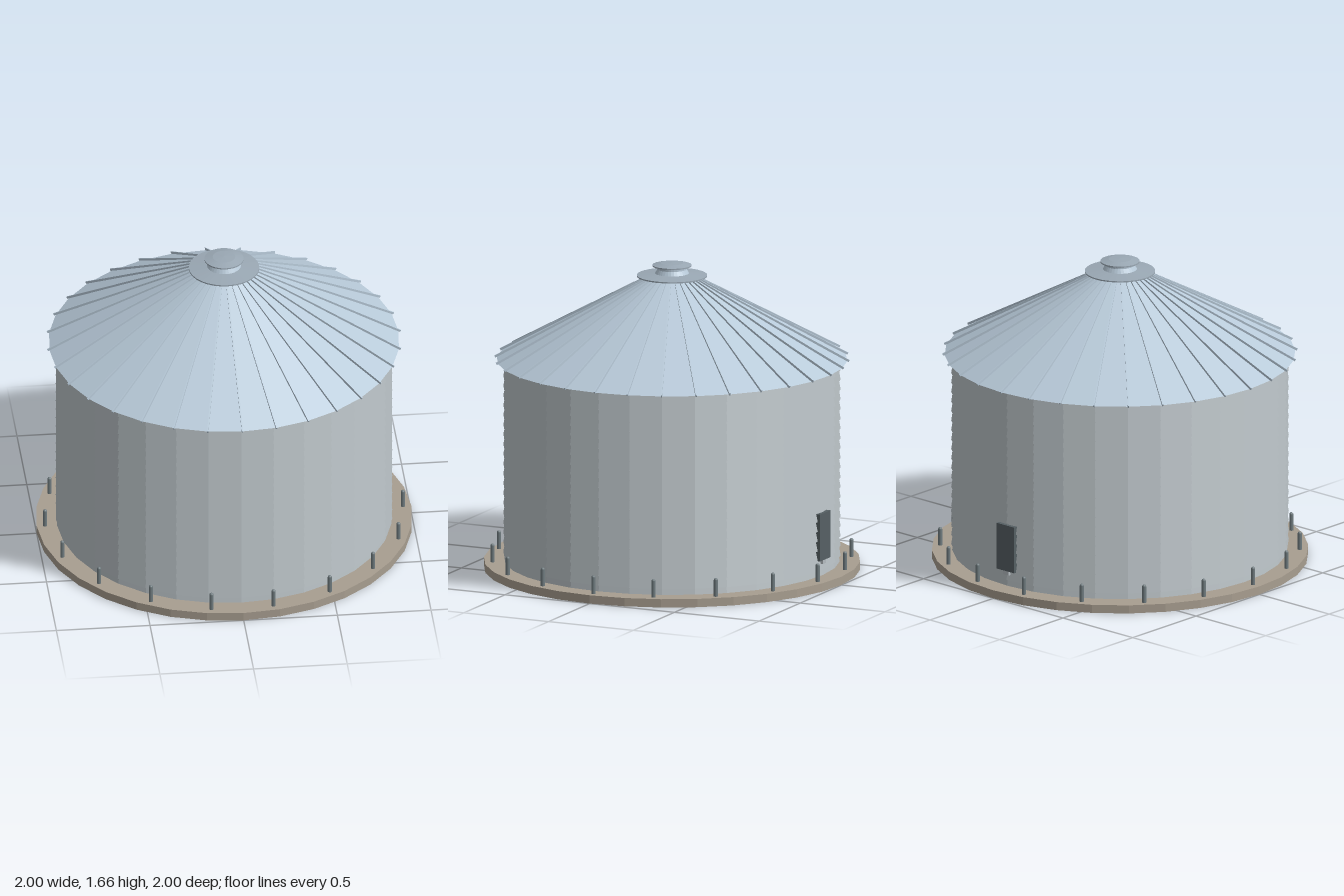
import * as THREE from 'three';

const SIDES = 32;
const material = (color, extra = {}) =>
  new THREE.MeshStandardMaterial({ color, flatShading: true, side: THREE.DoubleSide, ...extra });

// Faceted solid of revolution from [radius, height] pairs, bottom to top
function revolve(name, points, mat) {
  const profile = points.map(([r, y]) => new THREE.Vector2(r, y));
  const mesh = new THREE.Mesh(new THREE.LatheGeometry(profile, SIDES), mat);
  mesh.name = name;
  return mesh;
}

export function createModel() {
  const model = new THREE.Group();
  model.name = 'grainBin';
  const concrete = material(0xa89e90);
  const wallSteel = material(0xb4bcc0);
  const roofSteel = material(0xb8cad9);
  const capSteel = material(0x9aa8b4);
  const darkSteel = material(0x566064);
  const postSteel = material(0x707c80, { flatShading: false });

  // Foundation slab
  const baseTop = 0.045;
  model.add(revolve('foundation', [[0, 0], [1, 0], [1, baseTop], [0, baseTop]], concrete));

  // Wall of lapped rings, each flaring to a small lip at its lower edge
  const pitch = 0.053, firstLip = 0.078, rings = 20;
  const rIn = 0.885, rOut = 0.897;
  const wall = [[0.892, baseTop], [rIn, firstLip]];
  for (let i = 0; i < rings; i++) {
    const y = firstLip + i * pitch;
    wall.push([rOut, y], [rIn, y + pitch]);
  }
  model.add(revolve('corrugatedWall', wall, wallSteel));

  // Conical roof
  const eave = { r: 0.932, y: 1.132 }, crown = { r: 0.11, y: 1.585 };
  model.add(revolve('roof', [[eave.r, eave.y], [crown.r, crown.y]], roofSteel));

  // Standing seams along the roof corners
  const seams = new THREE.Group();
  seams.name = 'roofSeams';
  const run = eave.r - crown.r + 0.01, rise = crown.y - eave.y;
  const seamGeometry = new THREE.BoxGeometry(Math.hypot(run, rise), 0.012, 0.007);
  seamGeometry.rotateZ(-Math.atan2(rise, run));
  seamGeometry.translate((eave.r + crown.r) / 2 + 0.005, (eave.y + crown.y) / 2 + 0.002, 0);
  for (let i = 0; i < SIDES; i++) {
    const seam = new THREE.Mesh(seamGeometry, roofSteel);
    seam.name = 'roofSeam';
    seam.rotation.y = (i / SIDES) * Math.PI * 2;
    seams.add(seam);
  }
  model.add(seams);

  // Crown flashing, vent neck and lid
  model.add(revolve('crownFlashing',
    [[0.1, 1.575], [0.187, 1.583], [0.187, 1.59], [0.09, 1.6]], capSteel));
  model.add(revolve('ventNeck', [[0.092, 1.595], [0.078, 1.622], [0.078, 1.645]], roofSteel));
  model.add(revolve('ventLid',
    [[0, 1.638], [0.104, 1.638], [0.104, 1.645], [0.06, 1.655], [0, 1.658]], capSteel));

  // Anchor posts around the slab
  const posts = new THREE.Group();
  posts.name = 'anchorPosts';
  const postGeometry = new THREE.CapsuleGeometry(0.011, 0.1, 4, 10);
  for (let i = 0; i < 18; i++) {
    const a = (i / 18) * Math.PI * 2;
    const post = new THREE.Mesh(postGeometry, postSteel);
    post.name = 'anchorPost';
    post.position.set(0.955 * Math.cos(a), 0.084, 0.955 * Math.sin(a));
    posts.add(post);
  }
  model.add(posts);

  // Access hatch at the back, with a small bracket below
  const hatch = new THREE.Mesh(new THREE.BoxGeometry(0.125, 0.255, 0.03), darkSteel);
  hatch.name = 'accessHatch';
  hatch.position.set(0, 0.258, -0.89);
  const bracket = new THREE.Mesh(new THREE.BoxGeometry(0.04, 0.025, 0.025), wallSteel);
  bracket.name = 'hatchBracket';
  bracket.position.set(0, 0.12, -0.888);
  model.add(hatch, bracket);

  return model;
}
